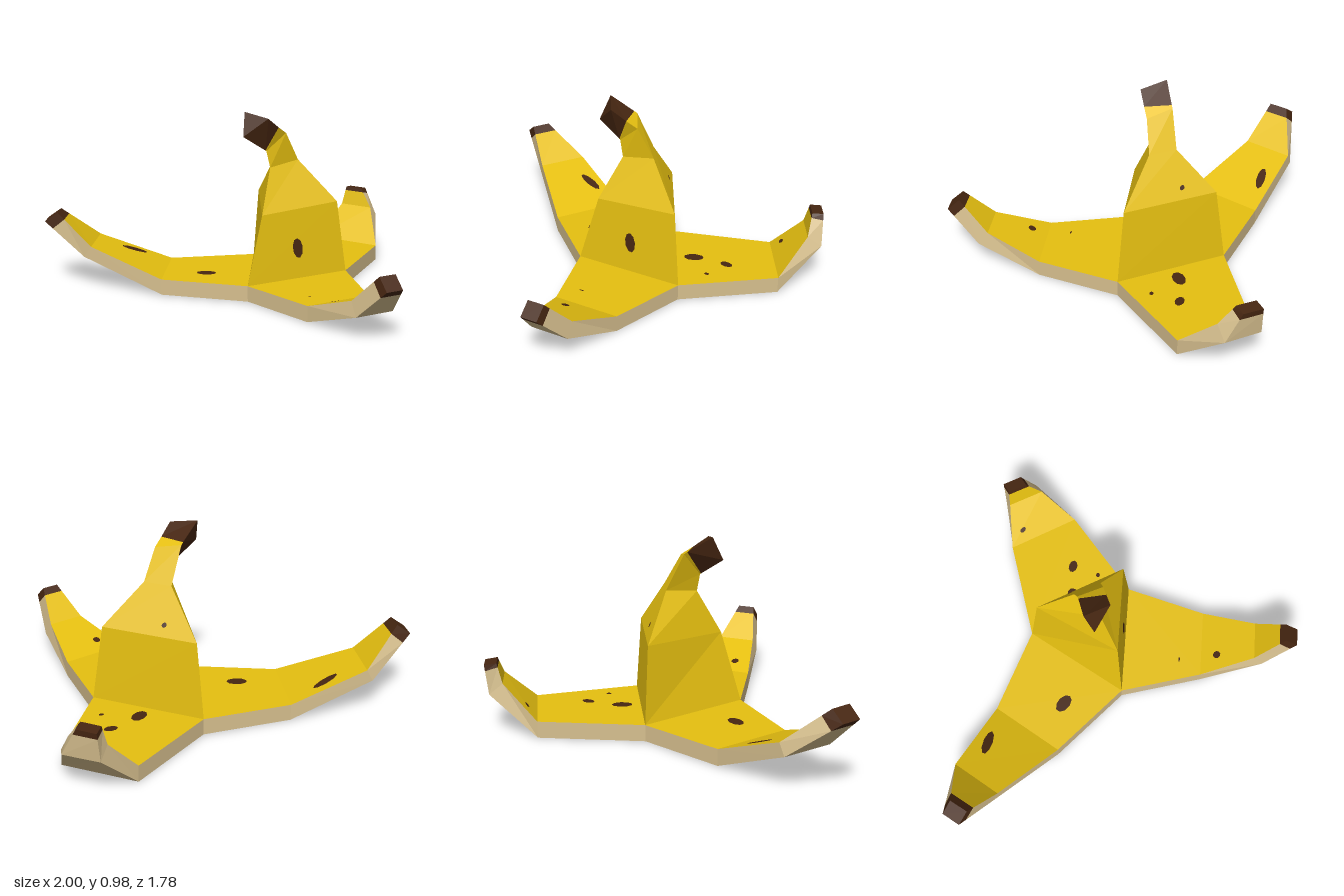
import * as THREE from 'three';

const mat = (name, color) => Object.assign(new THREE.MeshStandardMaterial({ color, flatShading: true }), { name });

// Joins quads (or triangles) of [x, y, z] corners into one faceted mesh.
function facets(name, faces, material) {
  const pos = [];
  for (const [a, b, c, d] of faces) {
    pos.push(...a, ...b, ...c);
    if (d) pos.push(...a, ...c, ...d);
  }
  const g = new THREE.BufferGeometry();
  g.setAttribute('position', new THREE.Float32BufferAttribute(pos, 3));
  g.computeVertexNormals();
  const m = new THREE.Mesh(g, material);
  m.name = name;
  return m;
}

const mix = (a, b, t) => a.map((v, i) => v + (b[i] - v) * t);
// Side k of the segment between two rings of corners.
const side = (r, s, k) => {
  const j = (k + 1) % r.length;
  return [r[k], r[j], s[j], s[k]];
};

export function createModel() {
  const yellow = mat('peelYellow', 0xe6c010);
  const cream = mat('rindCream', 0xd6bf8e);
  const brown = mat('ripeBrown', 0x462611);
  const root = new THREE.Group();
  root.name = 'bananaPeel';

  // Corners of the triangular base, front left, front right and back
  const A = [-0.155, -0.04], B = [0.445, -0.04], C = [0.145, -0.56];
  const slab = (l, r) => [
    [l[0], 0.085, l[1]], [r[0], 0.085, r[1]], [r[0], 0, r[1]], [l[0], 0, l[1]],
  ];

  // Flaps: each ring is upper pair, then lower pair
  function flap(name, rings) {
    const g = new THREE.Group();
    g.name = name;
    const end = rings[rings.length - 1], prev = rings[rings.length - 2];
    const capStart = end.map((p, i) => mix(prev[i], p, 0.8));
    const body = [...rings.slice(0, -1), capStart];
    const top = [], rind = [];
    for (let i = 0; i < body.length - 1; i++) {
      top.push(side(body[i], body[i + 1], 0));
      for (const k of [1, 2, 3]) rind.push(side(body[i], body[i + 1], k));
    }
    const cap = [0, 1, 2, 3].map(k => side(capStart, end, k));
    cap.push(end);
    g.add(facets('flapSkin', top, yellow), facets('flapRind', rind, cream), facets('flapTip', cap, brown));
    root.add(g);
  }

  flap('frontFlap', [
    slab(B, A),
    slab([0.325, 0.385], [-0.035, 0.385]),
    [[0.245, 0.185, 0.67], [0.045, 0.185, 0.67], [0.04, 0.115, 0.72], [0.25, 0.115, 0.72]],
    [[0.19, 0.34, 0.825], [0.1, 0.34, 0.825], [0.1, 0.28, 0.89], [0.19, 0.28, 0.89]],
  ]);
  flap('leftFlap', [
    slab(C, B),
    slab([0.66, -0.72], [0.86, -0.38]),
    [[0.84, 0.265, -0.735], [0.935, 0.265, -0.565], [1, 0.21, -0.605], [0.9, 0.21, -0.768]],
    [[0.87, 0.367, -0.735], [0.92, 0.367, -0.645], [0.97, 0.36, -0.68], [0.92, 0.36, -0.77]],
  ]);
  flap('rightFlap', [
    slab(A, C),
    slab([-0.51, -0.36], [-0.3, -0.71]),
    [[-0.8, 0.235, -0.64], [-0.66, 0.235, -0.875], [-0.69, 0.175, -0.89], [-0.83, 0.175, -0.67]],
    [[-0.94, 0.415, -0.76], [-0.89, 0.415, -0.85], [-0.95, 0.365, -0.888], [-1, 0.365, -0.8]],
  ]);

  // Underside between the flaps
  root.add(facets('underside', [[A, C, B].map(([x, z]) => [x, 0, z])], cream));

  // Upright fruit end: triangular rings, narrowing and bending to one side
  const trunk = [
    [A, B, C].map(([x, z]) => [x, 0.085, z]),
    [[-0.055, 0.45, -0.065], [0.4, 0.475, -0.065], [0.15, 0.475, -0.505]],
    [[0.04, 0.68, -0.155], [0.215, 0.705, -0.168], [0.145, 0.705, -0.297]],
    [[0.02, 0.77, -0.16], [0.13, 0.86, -0.145], [0.06, 0.89, -0.265]],
    [[0.015, 0.773, -0.16], [0.075, 0.897, -0.125], [0.045, 0.9, -0.26]],
  ];
  const tip = [[-0.11, 0.855, -0.17], [0, 0.953, -0.098], [-0.075, 0.977, -0.222]];
  const skin = [];
  for (let i = 0; i < trunk.length - 1; i++)
    for (let k = 0; k < 3; k++) skin.push(side(trunk[i], trunk[i + 1], k));
  root.add(facets('trunk', skin, yellow));
  root.add(facets('stem', [...[0, 1, 2].map(k => side(trunk[4], tip, k)), tip], brown));

  // Painted spots, dropped onto whatever surface lies along a ray
  const bases = [...root.children];
  root.updateMatrixWorld(true);
  const down = [0, -1, 0];
  function spot(name, origin, dir, w, h, turn, material) {
    const ray = new THREE.Raycaster(new THREE.Vector3(...origin), new THREE.Vector3(...dir));
    const hit = ray.intersectObjects(bases, true)[0];
    if (!hit) return;
    const m = new THREE.Mesh(new THREE.CircleGeometry(1, 9), material);
    m.name = name;
    m.scale.set(w, h, 1);
    m.position.copy(hit.point).addScaledVector(hit.face.normal, 0.003);
    m.quaternion.setFromUnitVectors(new THREE.Vector3(0, 0, 1), hit.face.normal);
    m.rotateZ(turn);
    root.add(m);
  }
  const flapSpots = [
    [0.38, -0.345, 0.054, 0.034, 0.4], [0.565, -0.365, 0.036, 0.024, -0.2], [0.52, -0.22, 0.014, 0.011, 0],
    [-0.25, -0.35, 0.054, 0.034, -0.6], [-0.515, -0.73, 0.075, 0.025, -0.5], [0.75, -0.665, 0.02, 0.013, 0],
    [0.075, 0.47, 0.021, 0.021, 0], [0.045, 0.265, 0.013, 0.004, 0],
  ];
  for (const [x, z, w, h, t] of flapSpots) spot('flapSpot', [x, 2, z], down, w, h, t, brown);
  spot('trunkSpot', [0.15, 0.25, 0.1], [0, 0, -1], 0.03, 0.055, 0.15, brown);
  spot('trunkSpot', [1, 0.53, -0.335], [-1, 0, 0], 0.012, 0.014, 0, brown);

  // Yellow marks left on the underside
  const path = [[0.351, -0.172], [0.442, -0.223], [0.436, -0.327], [0.21, -0.555], [0.08, -0.5], [0.045, -0.393]];
  const strip = [];
  for (let i = 0; i < path.length - 1; i++) {
    const [p, q] = [path[i], path[i + 1]];
    const len = Math.hypot(q[0] - p[0], q[1] - p[1]);
    const nx = -(q[1] - p[1]) / len * 0.011, nz = (q[0] - p[0]) / len * 0.011;
    const at = ([x, z], s) => [x + nx * s, -0.002, z + nz * s];
    strip.push([at(p, -1), at(q, -1), at(q, 1), at(p, 1)]);
  }
  root.add(facets('undersideStreak', strip, yellow));
  for (const [x, z, w] of [[0.31, -0.31, 0.014], [0.245, -0.235, 0.012], [0.12, -0.345, 0.016], [0.215, -0.5, 0.02]])
    spot('undersideFleck', [x, -1, z], [0, 1, 0], w, 0.01, 0.3, yellow);

  return root;
}
